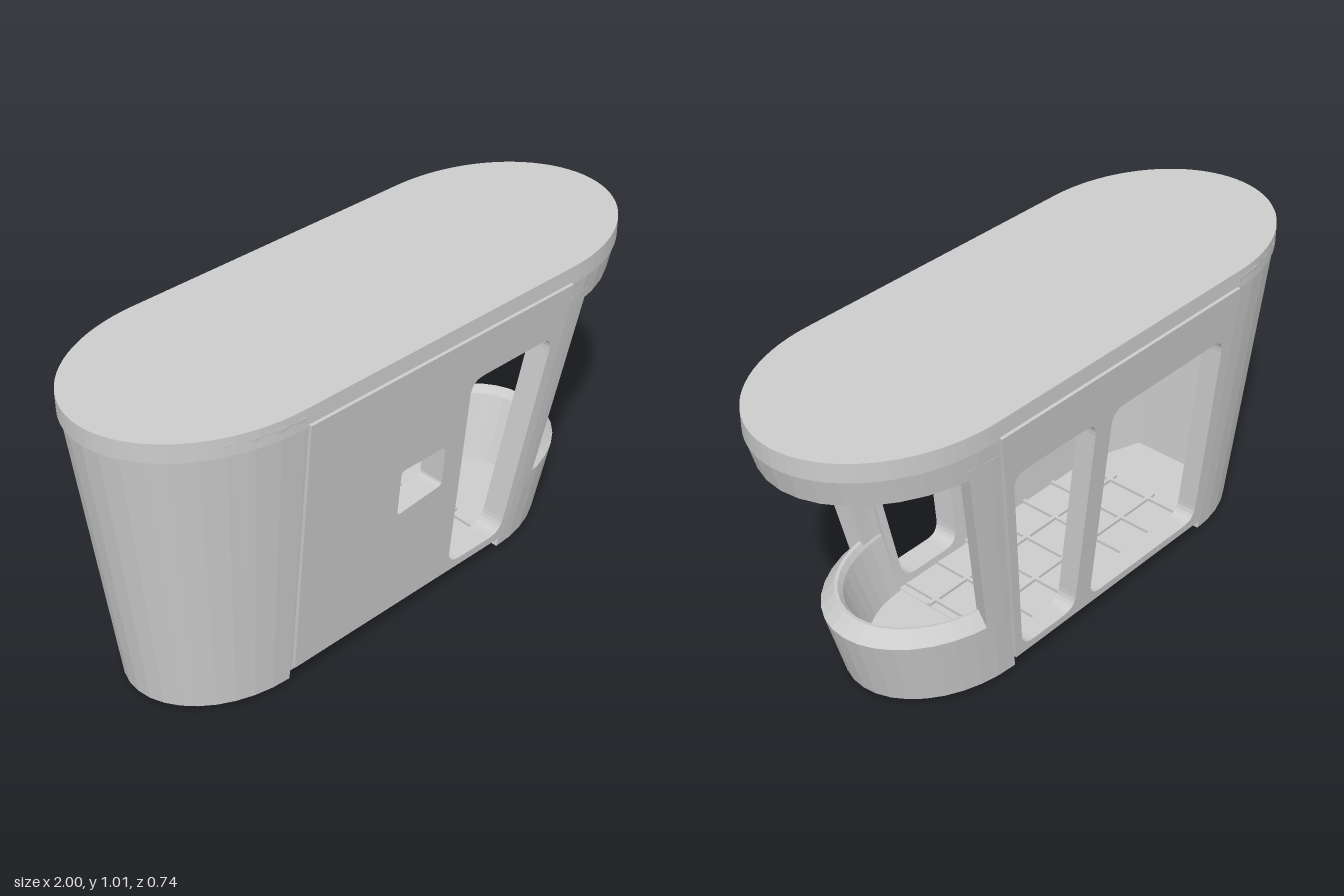
import * as THREE from 'three';

const grey = new THREE.MeshStandardMaterial({ color: 0xcccccc, flatShading: true, side: THREE.DoubleSide });
grey.name = 'lightGrey';

// Tapered plan: half width, and centre and radius of the two rounded ends, by height
const half = y => 0.265 + (y - 0.02) * 0.1;
const centre = (side, y) => side > 0 ? 0.37 + (y - 0.06) * 0.168 : 0.53;
const radius = (side, y) => (side > 0 ? 0.367 : 0.35) + (y - 0.02) * 0.12;
const range = (a, b, n) => Array.from({ length: n + 1 }, (_, i) => a + (b - a) * i / n);

// Sweeps a closed profile of [y, scale] around a rounded end, with capped ends
function endBand(side, profile, degrees = range(-90, 90, 18)) {
  const pos = [], index = [], n = profile.length;
  for (const d of degrees) {
    const a = THREE.MathUtils.degToRad(d);
    for (const [y, s] of profile) {
      pos.push(side * (centre(side, y) + radius(side, y) * s * Math.cos(a)), y, half(y) * s * Math.sin(a));
    }
  }
  const tri = (a, b, c) => side > 0 ? index.push(a, b, c) : index.push(a, c, b);
  for (let i = 0; i < degrees.length - 1; i++) {
    for (let j = 0; j < n; j++) {
      const a = i * n + j, b = i * n + (j + 1) % n;
      tri(a, b, a + n);
      tri(b, b + n, a + n);
    }
  }
  const last = (degrees.length - 1) * n;
  const caps = THREE.ShapeUtils.triangulateShape(profile.map(([y, s]) => new THREE.Vector2(s, y)), []);
  for (const [a, b, c] of caps) {
    tri(a, c, b);
    tri(last + a, last + b, last + c);
  }
  const g = new THREE.BufferGeometry();
  g.setAttribute('position', new THREE.Float32BufferAttribute(pos, 3));
  g.setIndex(index);
  const flat = g.toNonIndexed();
  flat.computeVertexNormals();
  return flat;
}

// Polygon with rounded corners
function rounded(points, r, Type = THREE.Shape) {
  const p = points.map(([x, y]) => new THREE.Vector2(x, y)), n = p.length, s = new Type();
  p.forEach((c, i) => {
    const toward = q => c.clone().add(q.clone().sub(c).setLength(r));
    const a = toward(p[(i + n - 1) % n]), b = toward(p[(i + 1) % n]);
    if (i) s.lineTo(a.x, a.y); else s.moveTo(a.x, a.y);
    s.quadraticCurveTo(c.x, c.y, b.x, b.y);
  });
  s.closePath();
  return s;
}

// Slab leaning with the side walls; offset is its inner face relative to the wall's outer face
function slab(outline, holes, thick, offset) {
  const shape = rounded(outline, 0.001);
  shape.holes = holes.map(([pts, r]) => rounded(pts, r, THREE.Path));
  const g = new THREE.ExtrudeGeometry(shape, { depth: thick, bevelEnabled: false, curveSegments: 6 });
  const p = g.attributes.position;
  for (let i = 0; i < p.count; i++) p.setZ(i, p.getZ(i) + half(p.getY(i)) + offset);
  g.computeVertexNormals();
  return g;
}

export function createModel() {
  const model = new THREE.Group();
  model.name = 'kiosk';
  const add = (name, geometry, mirror = false) => {
    const m = new THREE.Mesh(geometry, grey);
    m.name = name;
    if (mirror) m.scale.z = -1;
    model.add(m);
    return m;
  };
  const box = (name, w, h, d, x, y, z) => add(name, new THREE.BoxGeometry(w, h, d)).position.set(x, y, z);

  // Roof slab with elliptical ends
  const roof = new THREE.Shape();
  roof.absellipse(0.53, 0, 0.47, 0.36, -Math.PI / 2, Math.PI / 2);
  roof.absellipse(-0.53, 0, 0.47, 0.36, Math.PI / 2, Math.PI * 1.5);
  const roofGeo = new THREE.ExtrudeGeometry(roof, { depth: 0.06, bevelEnabled: false, curveSegments: 20 });
  add('roof', roofGeo.rotateX(-Math.PI / 2).translate(0, 0.954, 0));

  // Rear shell, front counter and the band below the front of the roof
  add('rearShell', endBand(-1, [[0.02, 0], [0.02, 1], [0.99, 1], [0.99, 0.87], [0.06, 0.87], [0.06, 0]]));
  add('counter', endBand(1, [[0.02, 0], [0.02, 1], [0.255, 1], [0.297, 0.86], [0.295, 0.83],
    [0.275, 0.8], [0.06, 0.74], [0.06, 0]]));
  add('roofValance', endBand(1, [[0.865, 0.85], [0.865, 1], [0.956, 1], [0.956, 0.85]]));

  // Pillars between counter and roof
  const pillar = [[0.22, 0.81], [0.22, 1], [0.9, 1], [0.9, 0.83]];
  add('leftPillar', endBand(1, pillar, range(76, 90, 3)));
  add('rightPillar', endBand(1, pillar, range(-90, -76, 3)));

  // Side walls with thin outer panels
  const outline = [[-0.53, 0.06], [0.37, 0.06], [0.522, 0.96], [-0.53, 0.96]];
  const panel = [[-0.522, 0.066], [0.376, 0.066], [0.526, 0.962], [-0.522, 0.962]];
  const door = [[0.115, 0.095], [0.352, 0.095], [0.464, 0.802], [0.115, 0.802]];
  const hatch = [[-0.147, 0.442], [0.035, 0.46], [0.035, 0.606], [-0.147, 0.606]];
  const bigWindow = [[-0.475, 0.095], [0.045, 0.095], [0.045, 0.802], [-0.475, 0.802]];
  const leftHoles = [[door, 0.05], [hatch, 0.015]], rightHoles = [[door, 0.05], [bigWindow, 0.05]];
  add('leftWall', slab(outline, leftHoles, 0.055, -0.055));
  add('leftPanel', slab(panel, leftHoles, 0.012, 0));
  add('rightWall', slab(outline, rightHoles, 0.055, -0.055), true);
  add('rightPanel', slab(panel, rightHoles, 0.012, 0), true);

  // Raised frames on the inside of the left wall
  add('doorFrame', slab([[0.08, 0.07], [0.376, 0.07], [0.494, 0.825], [0.08, 0.825]], [[door, 0.05]], 0.015, -0.07));
  add('hatchFrame', slab([[-0.17, 0.42], [0.058, 0.437], [0.058, 0.63], [-0.17, 0.63]], [[hatch, 0.015]], 0.02, -0.075));
  add('doorHandle', slab([[0.07, 0.34], [0.095, 0.34], [0.095, 0.53], [0.07, 0.53]], [], 0.02, -0.09));

  // Base plate, floor bars and ceiling bars
  box('base', 0.9, 0.062, 0.45, -0.08, 0.031, 0);
  for (const z of [-0.08, 0.08]) {
    box('floorBar', 0.9, 0.012, 0.012, -0.08, 0.066, z);
    box('ceilingBar', 1.06, 0.016, 0.014, 0, 0.946, z);
  }
  for (const x of range(-0.5, 0.34, 6)) {
    box('floorCrossBar', 0.012, 0.012, 0.43, x, 0.066, 0);
  }
  for (const x of range(-0.5, 0.5, 5)) box('ceilingCrossBar', 0.014, 0.016, 0.6, x, 0.946, 0);
  for (const x of range(0.56, 0.86, 7)) {
    box('ceilingSlat', 0.012, 0.012, 0.59 * Math.sqrt(1 - ((x - 0.53) / 0.47) ** 2), x, 0.948, 0);
  }

  // Faceted lining inside the rear, closed by a curved ledge
  const facets = [-90, -43, 43, 90];
  add('rearLining', endBand(-1, [[0.06, 0.81], [0.06, 0.85], [0.74, 0.85], [0.74, 0.81]], facets));
  const y = 0.745, ring = (s, d) => {
    const a = THREE.MathUtils.degToRad(d);
    return new THREE.Vector2(-0.53 - radius(-1, y) * s * Math.cos(a), -half(y) * s * Math.sin(a));
  };
  const ledge = new THREE.Shape([...range(-90, 90, 16).map(d => ring(0.88, d)),
    ...facets.slice().reverse().map(d => ring(0.79, d))]);
  const ledgeGeo = new THREE.ExtrudeGeometry(ledge, { depth: 0.012, bevelEnabled: false });
  add('rearLedge', ledgeGeo.rotateX(-Math.PI / 2).translate(0, 0.738, 0));

  return model;
}
